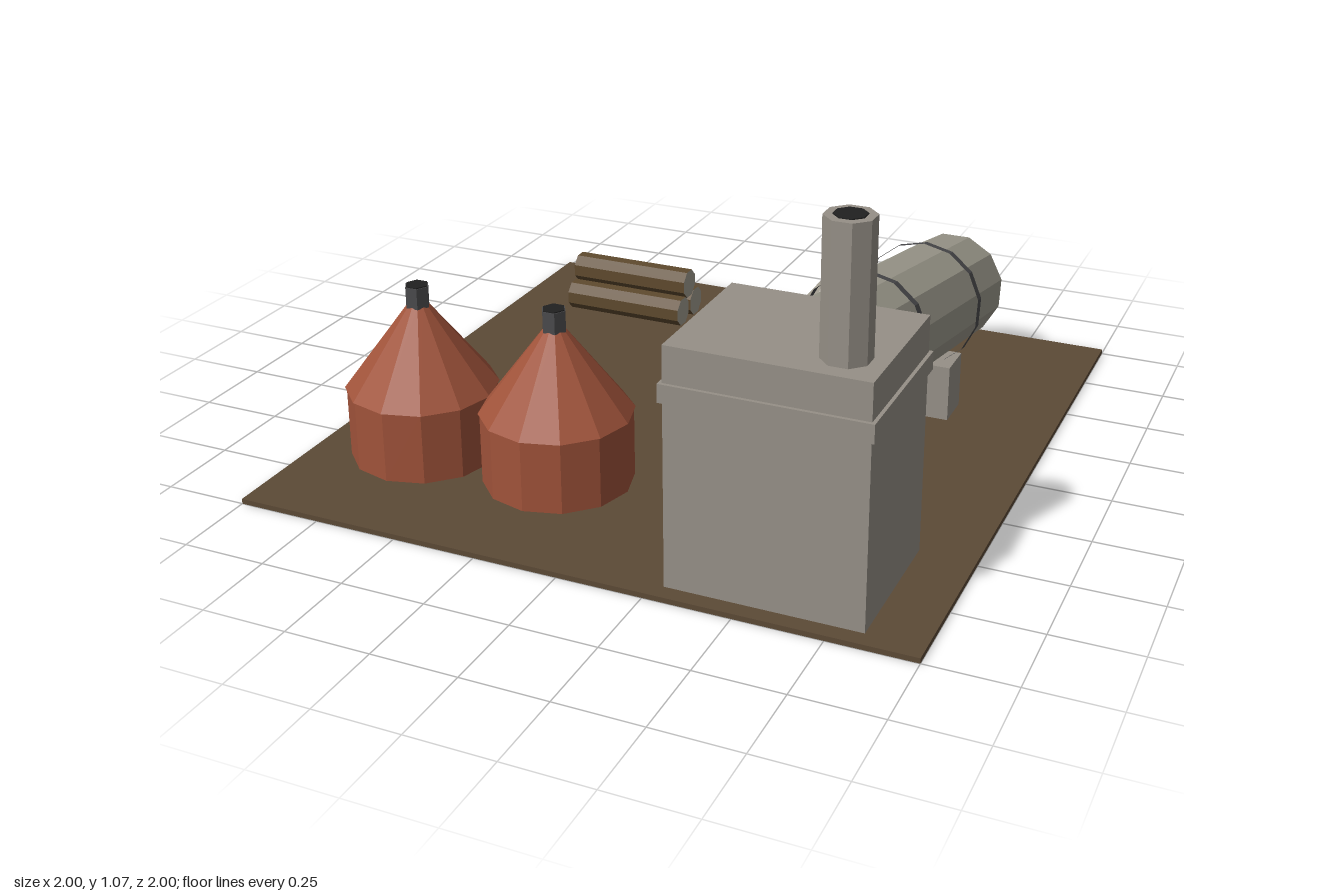
import * as THREE from 'three';

const mat = (name, color, extra = {}) => {
  const m = new THREE.MeshStandardMaterial({ color, flatShading: true, ...extra });
  m.name = name;
  return m;
};

export function createModel() {
  const earth = mat('earth', 0x5c4a36);
  const concrete = mat('concrete', 0x969087);
  const steel = mat('steel', 0x9c998c);
  const iron = mat('darkIron', 0x4a4a4c);
  const ironBand = iron.clone();
  ironBand.side = THREE.DoubleSide;
  const brick = mat('brick', 0xa0533a);
  const soot = mat('soot', 0x202020);
  const fire = mat('fire', 0xdb7a28);
  const bark = mat('bark', 0x5f4a2e);
  const stone = mat('stone', 0xa09b8f);

  const root = new THREE.Group();
  root.name = 'kilnYard';

  const add = (parent, name, geo, material, x = 0, y = 0, z = 0) => {
    const m = new THREE.Mesh(geo, material);
    m.name = name;
    m.position.set(x, y, z);
    parent.add(m);
    return m;
  };
  // box given by its min and max on each axis
  const box = (name, material, x0, x1, y0, y1, z0, z1) =>
    add(root, name, new THREE.BoxGeometry(x1 - x0, y1 - y0, z1 - z0), material,
      (x0 + x1) / 2, (y0 + y1) / 2, (z0 + z1) / 2);
  const cyl = (rTop, rBottom, h, sides, turn = 0, open = false) =>
    new THREE.CylinderGeometry(rTop, rBottom, h, sides, 1, open).rotateY(turn);

  const G = 0.015; // ground level
  box('ground', earth, -1, 1, 0, G, -1, 1);

  // Furnace house with a raised band and a chimney
  box('furnaceHouse', concrete, 0.29, 0.84, G, 0.70, 0.505, 0.95);
  box('houseBand', concrete, 0.28, 0.85, 0.545, 0.597, 0.495, 0.96);
  add(root, 'chimney', cyl(0.067, 0.067, 0.37, 8, Math.PI / 8), concrete, 0.733, 0.885, 0.84);
  add(root, 'chimneyOpening', cyl(0.043, 0.043, 0.004, 8, Math.PI / 8), soot, 0.733, 1.071, 0.84);

  // Sloping drum with dark ends and two riding bands
  const drum = new THREE.Group();
  drum.name = 'rotaryDrum';
  drum.position.set(0.55, 0.40, -0.104);
  drum.rotation.x = THREE.MathUtils.degToRad(79);
  root.add(drum);
  add(drum, 'drumShell', cyl(0.17, 0.17, 1.233, 12, Math.PI / 12), [steel, iron, iron]);
  for (const y of [0.29, -0.27]) {
    add(drum, 'drumBand', cyl(0.19, 0.19, 0.036, 14, 0, true), ironBand, 0, y, 0);
  }
  box('drumSupportFront', concrete, 0.42, 0.68, G, 0.30, 0.14, 0.265);
  box('drumSupportBack', concrete, 0.42, 0.68, G, 0.19, -0.405, -0.28);

  // Glowing disc at the low end of the drum
  const glow = add(root, 'glowingMouth', cyl(0.112, 0.112, 0.026, 12), fire, 0.55, 0.27, -0.743);
  glow.rotation.x = THREE.MathUtils.degToRad(64);

  // Two round kilns with conical roofs, vents and back doors
  for (const x of [-0.685, -0.24]) {
    const kiln = new THREE.Group();
    kiln.name = 'roundKiln';
    kiln.position.set(x, 0, 0.525);
    root.add(kiln);
    add(kiln, 'kilnWall', cyl(0.22, 0.22, 0.215, 12), brick, 0, 0.1225, 0);
    add(kiln, 'kilnRoof', cyl(0.03, 0.225, 0.255, 12), brick, 0, 0.3575, 0);
    add(kiln, 'kilnVent', cyl(0.037, 0.037, 0.064, 6, Math.PI / 6), iron, 0, 0.51, 0);
    add(kiln, 'ventOpening', cyl(0.034, 0.034, 0.004, 6, Math.PI / 6), soot, 0, 0.543, 0);
    add(kiln, 'kilnDoor', new THREE.BoxGeometry(0.15, 0.16, 0.02), soot, 0, 0.095, -0.22);
  }

  // Rubble heap, a seven-sided cone with one corner to the back
  add(root, 'rubbleHeap', new THREE.ConeGeometry(0.18, 0.215, 7).rotateY(Math.PI), stone,
    0.105, 0.1225, -0.793);

  // Stack of three logs with pale cut ends
  for (const [y, z] of [[0.063, -0.635], [0.063, -0.741], [0.146, -0.688]]) {
    add(root, 'log', cyl(0.05, 0.05, 0.42, 8, Math.PI / 8).rotateZ(Math.PI / 2),
      [bark, stone, stone], -0.58, y, z);
  }
  return root;
}
